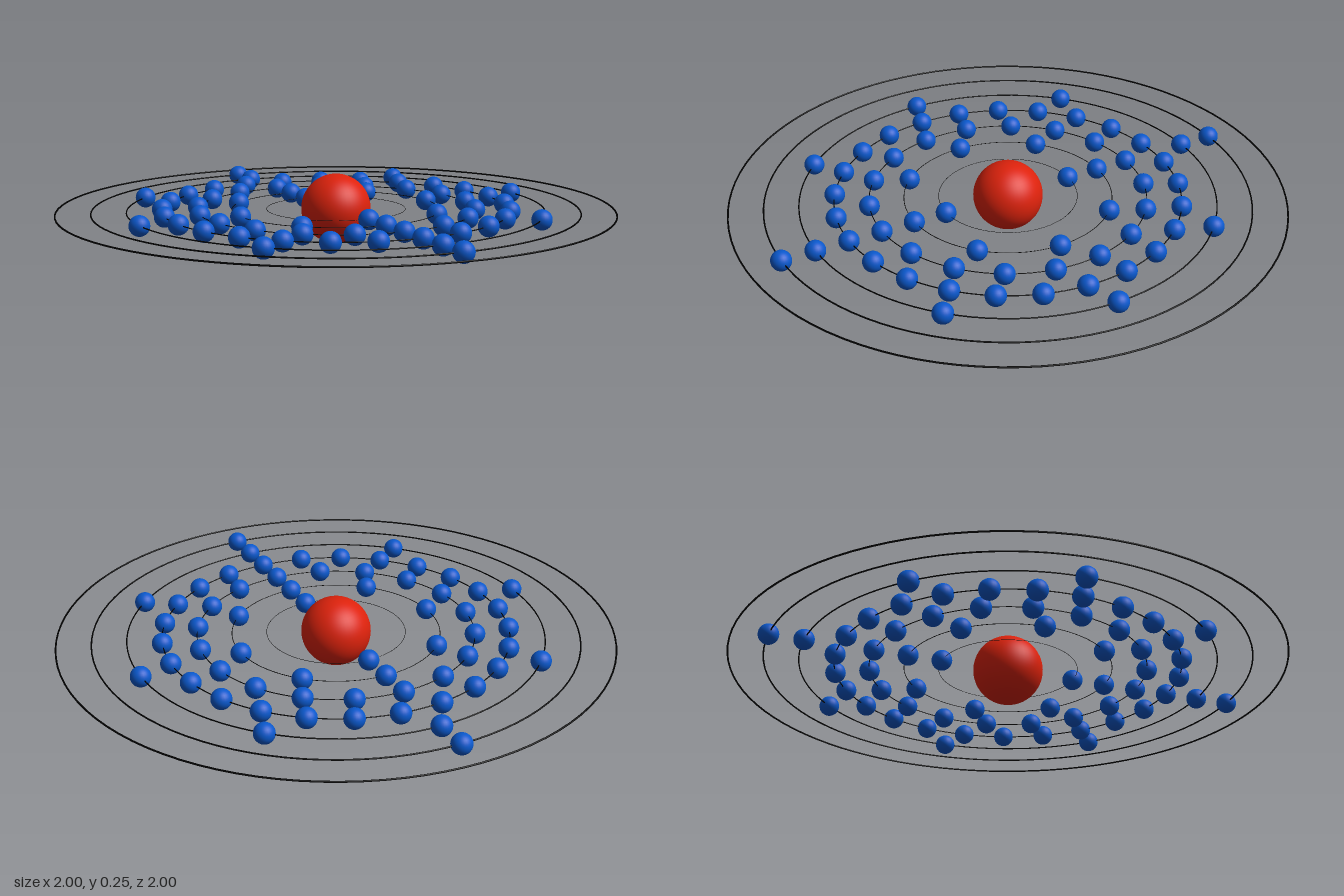
import * as THREE from 'three';

// Atom model: a nucleus with seven flat orbits, electrons evenly spaced on the inner six
const CENTRE_Y = 0.125;
const ORBIT_STEP = 0.1246;
const ELECTRONS = [2, 8, 18, 25, 8, 2, 0];

export function createModel() {
  const model = new THREE.Group();
  model.name = 'atom';

  const red = new THREE.MeshStandardMaterial({ color: 0xdd220c });
  const blue = new THREE.MeshStandardMaterial({ color: 0x0a58cc });
  const black = new THREE.MeshStandardMaterial({ color: 0x000000 });

  const add = (parent, name, geometry, material, x = 0, z = 0) => {
    const mesh = new THREE.Mesh(geometry, material);
    mesh.name = name;
    mesh.position.set(x, 0, z);
    parent.add(mesh);
    return mesh;
  };

  const atom = new THREE.Group();
  atom.name = 'atomBody';
  atom.position.y = CENTRE_Y;
  model.add(atom);

  add(atom, 'nucleus', new THREE.SphereGeometry(0.125, 48, 32), red);

  const electronGeometry = new THREE.SphereGeometry(0.037, 24, 16);

  ELECTRONS.forEach((count, i) => {
    const radius = ORBIT_STEP * (i + 2);
    const shell = new THREE.Group();
    shell.name = `shell${i + 1}`;
    atom.add(shell);

    // Thin orbit ring, its thickness growing with its radius
    const ring = new THREE.TorusGeometry(radius, radius * 0.0032, 8, 96);
    ring.rotateX(Math.PI / 2);
    add(shell, 'orbit', ring, black);

    // Electrons, starting at the front
    for (let k = 0; k < count; k++) {
      const a = (k / count) * Math.PI * 2;
      add(shell, 'electron', electronGeometry, blue, radius * Math.sin(a), radius * Math.cos(a));
    }
  });

  return model;
}
